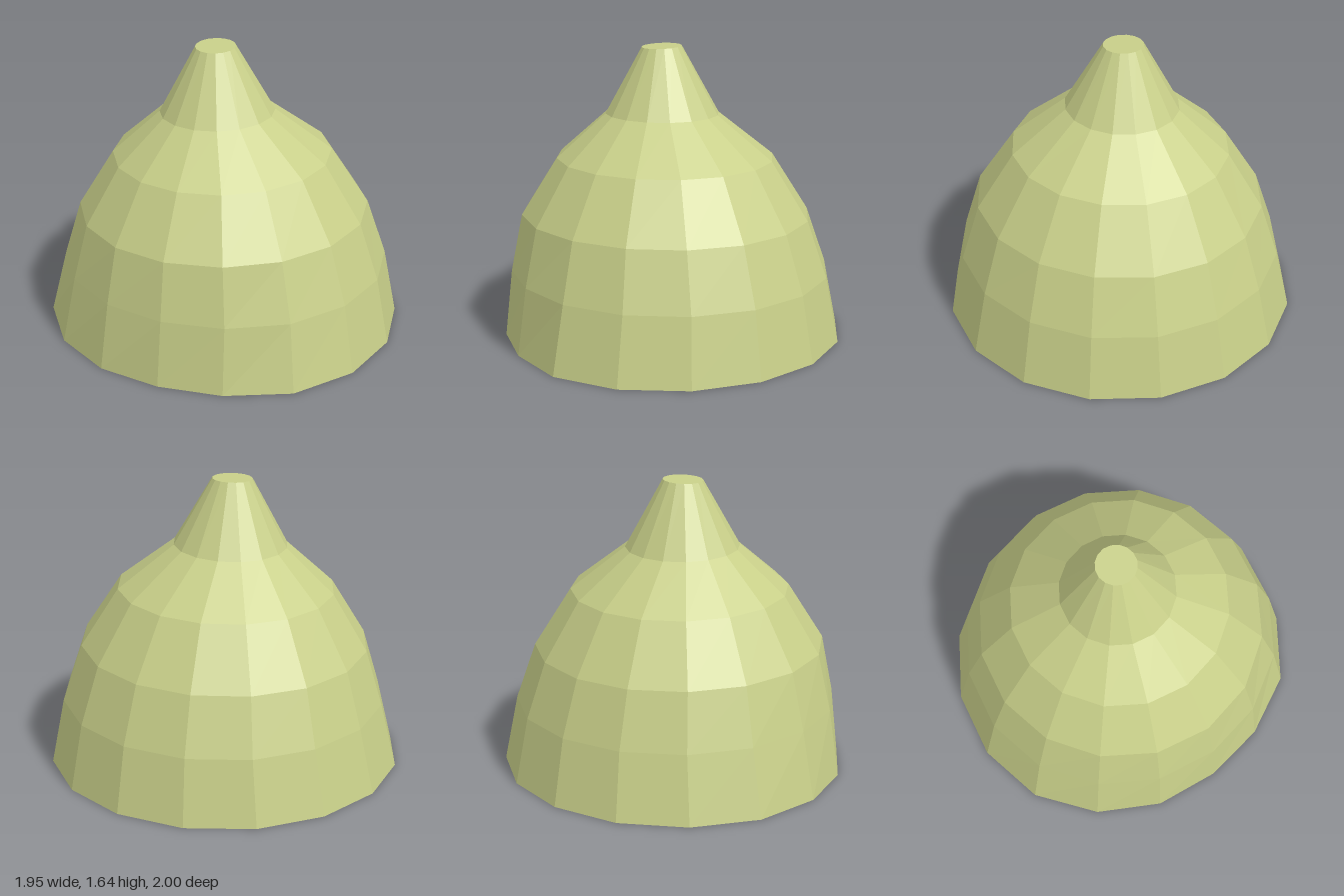
import * as THREE from 'three';

const SIDES = 16;

// Each ring: centre x, centre z, radius, height, lean along x, lean along z, strength of the dent
const RINGS = [
  [-0.03, -0.005, 1.0, 0, 0, 0, 1],
  [-0.02, -0.002, 0.917, 0.375, -0.005, 0.008, 0.4],
  [-0.03, -0.005, 0.815, 0.695, -0.005, 0.018, 0],
  [-0.035, -0.012, 0.612, 1.017, 0, 0.022, 0],
  [-0.057, -0.027, 0.32, 1.26, 0, 0.03, 0],
  [-0.062, -0.035, 0.112, 1.635, 0.04, 0, 0],
];

// Shallow dent at the foot, by side index
const DENT = { 11: 0.025, 12: 0.055, 13: 0.08, 14: 0.06, 15: 0.01 };

function ringPoints([cx, cz, radius, y, leanX, leanZ, dent]) {
  return Array.from({ length: SIDES }, (_, k) => {
    const a = (k / SIDES) * Math.PI * 2;
    const r = radius * (1 - (DENT[k] || 0) * dent);
    const dx = r * Math.sin(a), dz = r * Math.cos(a);
    return new THREE.Vector3(cx + dx, y + leanX * dx + leanZ * dz, cz + dz);
  });
}

function facetedMesh(name, points, material) {
  const geometry = new THREE.BufferGeometry().setFromPoints(points);
  geometry.computeVertexNormals();
  const mesh = new THREE.Mesh(geometry, material);
  mesh.name = name;
  return mesh;
}

// Flat lid over a ring, facing up or down
function capPoints(ring, up) {
  const centre = ring.reduce((s, p) => s.add(p), new THREE.Vector3()).divideScalar(SIDES);
  return ring.flatMap((p, k) => {
    const q = ring[(k + 1) % SIDES];
    return up ? [centre, p, q] : [centre, q, p];
  });
}

export function createModel() {
  const group = new THREE.Group();
  group.name = 'taperedDome';
  const paleGreen = new THREE.MeshStandardMaterial({ color: 0xc8cf89, flatShading: true });
  paleGreen.name = 'paleGreen';

  const rings = RINGS.map(ringPoints);

  // Facets between neighbouring rings
  const wall = [];
  for (let i = 0; i < rings.length - 1; i++) {
    const low = rings[i], high = rings[i + 1];
    for (let k = 0; k < SIDES; k++) {
      const n = (k + 1) % SIDES;
      wall.push(low[k], low[n], high[n], low[k], high[n], high[k]);
    }
  }
  group.add(facetedMesh('domeWall', wall, paleGreen));
  group.add(facetedMesh('tipCap', capPoints(rings[rings.length - 1], true), paleGreen));
  group.add(facetedMesh('underside', capPoints(rings[0], false), paleGreen));
  return group;
}
